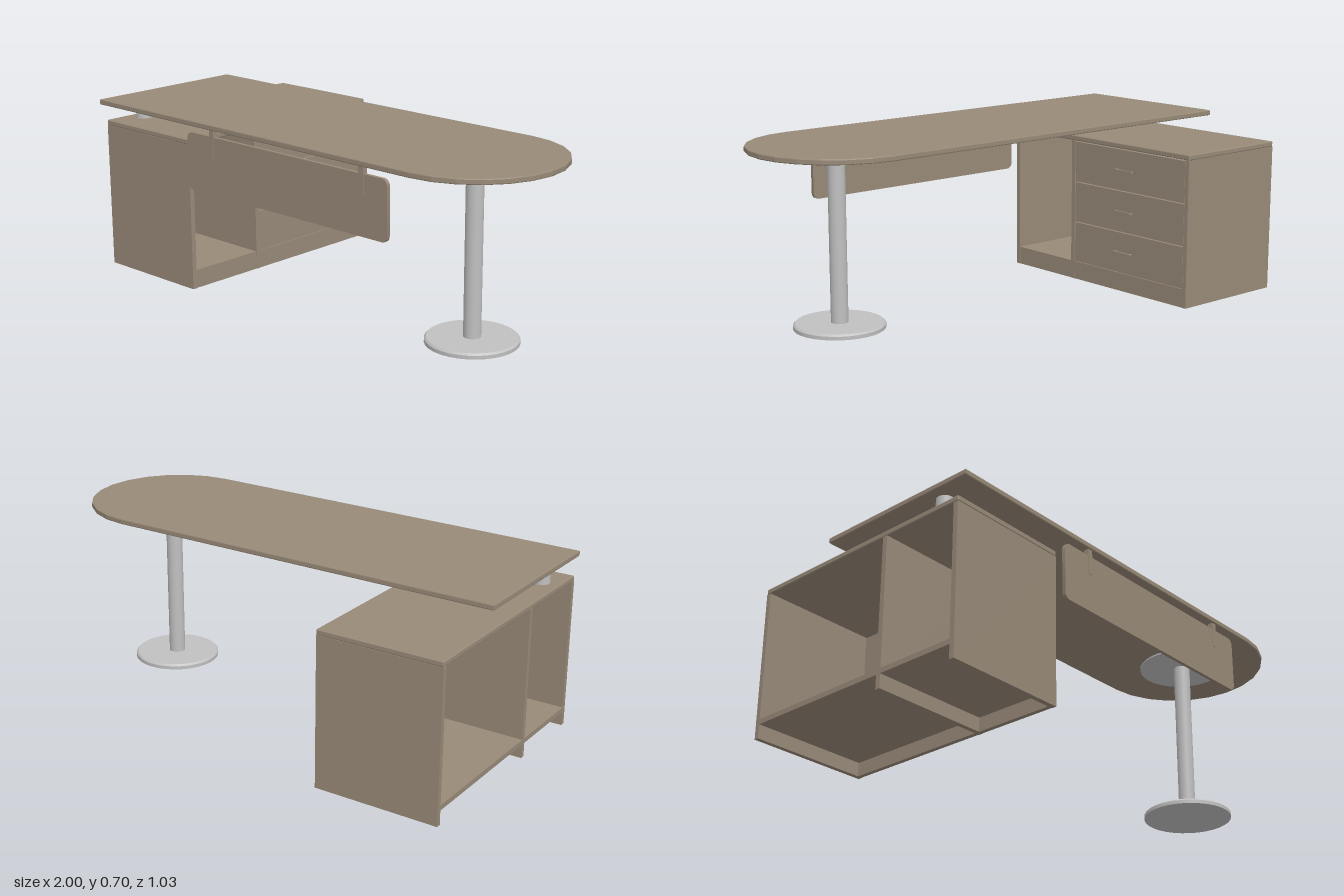
import * as THREE from 'three';
import { toCreasedNormals } from 'three/addons/utils/BufferGeometryUtils.js';
import { RoundedBoxGeometry } from 'three/addons/geometries/RoundedBoxGeometry.js';

export function createModel() {
  const wood = new THREE.MeshStandardMaterial({ color: 0x988a78 });
  wood.name = 'taupe wood';
  const metal = new THREE.MeshStandardMaterial({ color: 0xc0c0c0 });
  metal.name = 'light grey metal';

  const model = new THREE.Group();
  model.name = 'desk';

  function add(parent, name, geometry, material) {
    const mesh = new THREE.Mesh(geometry, material);
    mesh.name = name;
    parent.add(mesh);
    return mesh;
  }
  // Box given by its extents on each axis; r rounds its edges
  function block(parent, name, [x0, x1], [y0, y1], [z0, z1], r = 0) {
    const size = [x1 - x0, y1 - y0, z1 - z0];
    const geometry = r ? new RoundedBoxGeometry(...size, 2, r) : new THREE.BoxGeometry(...size);
    const mesh = add(parent, name, geometry, wood);
    mesh.position.set((x0 + x1) / 2, (y0 + y1) / 2, (z0 + z1) / 2);
  }
  function post(name, r, y0, y1, x, z) {
    const mesh = add(model, name, new THREE.CylinderGeometry(r, r, y1 - y0, 32), metal);
    mesh.position.set(x, (y0 + y1) / 2, z);
  }

  // Desktop: rectangle with one half-round end and softened edges
  const bevel = 0.004, zc = 0.169, R = 0.345 - bevel, cx = 0.655;
  const top = new THREE.Shape();
  top.moveTo(-1 + bevel, -zc - R);
  for (let i = 0; i <= 12; i++) {
    const a = -Math.PI / 2 + (i / 12) * Math.PI;
    top.lineTo(cx + R * Math.cos(a), -zc + R * Math.sin(a));
  }
  top.lineTo(-1 + bevel, -zc + R);
  top.closePath();
  const topGeo = new THREE.ExtrudeGeometry(top, {
    depth: 0.022 - 2 * bevel, bevelEnabled: true, bevelSize: bevel, bevelThickness: bevel, bevelSegments: 2,
  });
  topGeo.rotateX(-Math.PI / 2);
  add(model, 'desktop', topGeo, wood).position.y = 0.68 + bevel;

  // Pedestal leg with a base disc and a mounting disc
  const legX = 0.668, legZ = 0.17;
  function disc(name, r, y0, h, e) {
    const profile = [[0, 0], [r, 0], [r, h - e], [r - e, h], [0, h]].map(p => new THREE.Vector2(...p));
    const geometry = toCreasedNormals(new THREE.LatheGeometry(profile, 32), 0.5);
    add(model, name, geometry, metal).position.set(legX, y0, legZ);
  }
  disc('legBase', 0.175, 0, 0.021, 0.007);
  disc('legTopPlate', 0.174, 0.673, 0.007, 0.001);
  post('legColumn', 0.033, 0.02, 0.675, legX, legZ);

  // Short post carrying the desktop on the cabinet
  post('cabinetPost', 0.033, 0.61, 0.681, -0.928, 0.347);

  // Cabinet carcass, open at the far side
  const cabinet = new THREE.Group();
  cabinet.name = 'cabinet';
  model.add(cabinet);
  const depth = [-1, -0.5];
  block(cabinet, 'cabinetTop', depth, [0.59, 0.612], [-0.516, 0.482], 0.005);
  const panels = { rearPanel: [-0.515, -0.496], divider: [0.116, 0.136], frontPanel: [0.461, 0.481] };
  for (const [name, z] of Object.entries(panels)) block(cabinet, name, depth, [0, 0.59], z);
  for (const z of [[-0.496, 0.116], [0.136, 0.461]]) {
    block(cabinet, 'cabinetFloor', [-1, -0.52], [0.055, 0.075], z);
    block(cabinet, 'kickBoard', [-0.52, -0.502], [0, 0.075], z);
  }

  // Three drawer fronts with bar handles
  for (let i = 0; i < 3; i++) {
    const y = 0.077 + i * 0.171;
    block(cabinet, 'drawerFront', [-0.52, -0.502], [y, y + 0.167], [-0.493, 0.114]);
    const h = 0.162 + i * 0.17;
    block(cabinet, 'drawerHandle', [-0.492, -0.485], [h - 0.004, h + 0.004], [-0.22, -0.124]);
    for (const z of [-0.216, -0.136]) {
      block(cabinet, 'handleStem', [-0.502, -0.49], [h - 0.004, h + 0.004], [z, z + 0.008]);
    }
  }

  // Modesty panel with rounded corners
  const [x0, x1, y0, y1, c] = [-0.477, 0.554, 0.425, 0.653, 0.025];
  const screen = new THREE.Shape();
  screen.moveTo(x0 + c, y0);
  screen.absarc(x1 - c, y0 + c, c, -Math.PI / 2, 0);
  screen.absarc(x1 - c, y1 - c, c, 0, Math.PI / 2);
  screen.absarc(x0 + c, y1 - c, c, Math.PI / 2, Math.PI);
  screen.absarc(x0 + c, y0 + c, c, Math.PI, Math.PI * 1.5);
  const screenGeo = new THREE.ExtrudeGeometry(screen, { depth: 0.014, bevelEnabled: false, curveSegments: 6 });
  add(model, 'modestyPanel', toCreasedNormals(screenGeo, 0.5), wood).position.z = 0.491;

  // Brackets hanging the panel from the desktop
  for (const x of [-0.338, 0.432]) {
    block(model, 'panelBracket', [x - 0.011, x + 0.011], [0.577, 0.681], [0.487, 0.507]);
  }
  return model;
}
